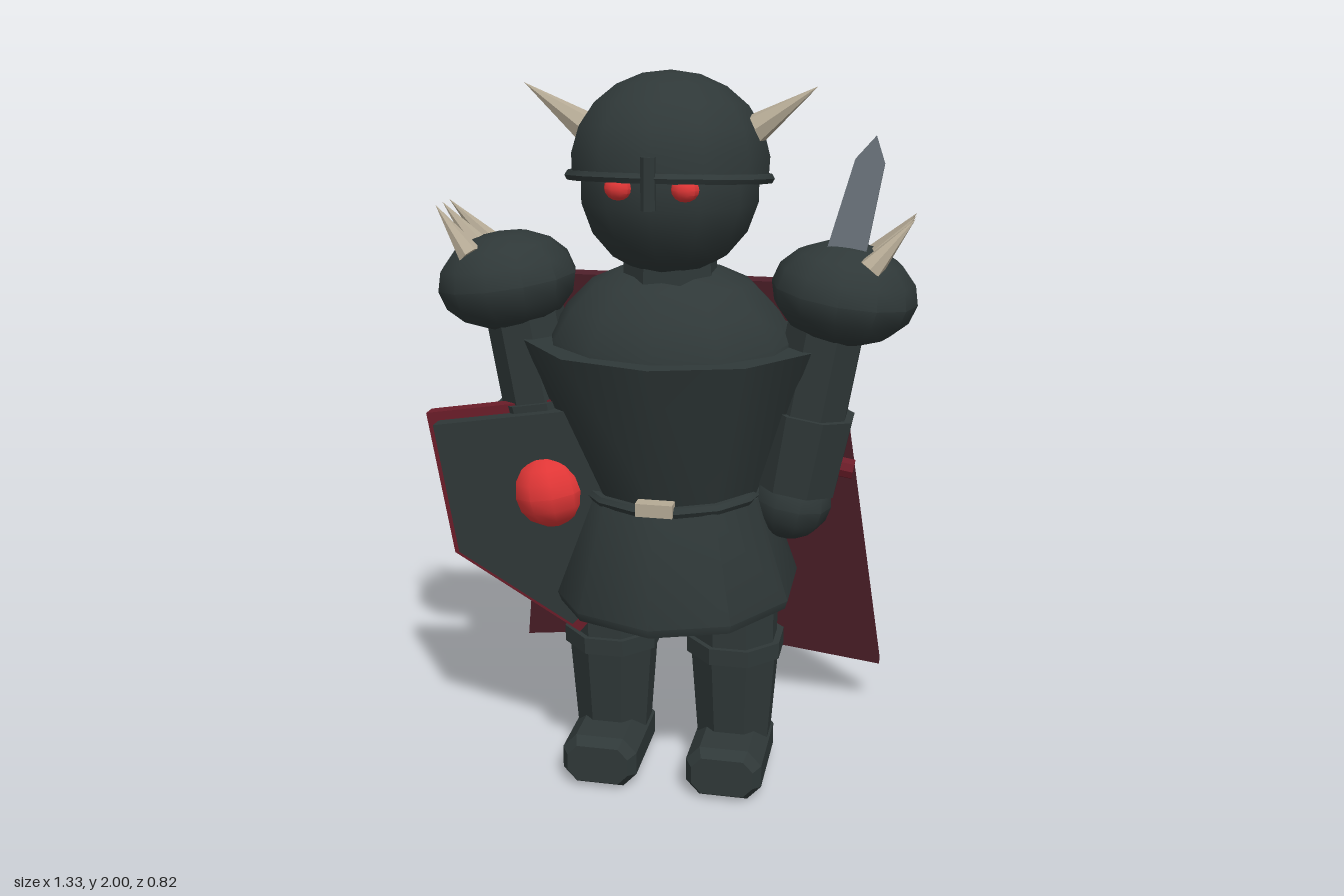
import * as THREE from 'three';
import { toCreasedNormals } from 'three/addons/utils/BufferGeometryUtils.js';

const mat = (name, color) => new THREE.MeshStandardMaterial({ name, color });

export function createModel() {
  const iron = mat('dark iron', 0x2f3838);
  const bone = mat('bone', 0xb5aa95);
  const red = mat('bright red', 0xe03636);
  const crimson = mat('crimson', 0x6c1d29);
  const cloth = mat('cape cloth', 0x4d1f29);
  const steel = mat('steel', 0x6d767e);

  const model = new THREE.Group();
  const body = new THREE.Group();
  body.name = 'knight';
  body.position.x = 0.015;
  model.add(body);

  const add = (name, geo, material, pos, parent = body, crease = 0.7) => {
    const mesh = new THREE.Mesh(toCreasedNormals(geo, crease), material);
    mesh.name = name;
    mesh.position.set(...pos);
    parent.add(mesh);
    return mesh;
  };
  const lathe = (pts, segs) =>
    new THREE.LatheGeometry(pts.map(p => new THREE.Vector2(...p)), segs);
  // Octagonal limb section with flat faces to front and sides
  const octagon = (top, bottom, height) =>
    new THREE.CylinderGeometry(top * 1.08, bottom * 1.08, height, 8).rotateY(Math.PI / 8);
  // Cone running from a base point to a tip
  const spike = (name, base, tip, radius, parent) => {
    const a = new THREE.Vector3(...base), d = new THREE.Vector3(...tip).sub(a);
    const geo = new THREE.ConeGeometry(radius, d.length(), 7).translate(0, d.length() / 2, 0);
    const mesh = add(name, geo, bone, base, parent, 0.3);
    mesh.quaternion.setFromUnitVectors(new THREE.Vector3(0, 1, 0), d.normalize());
  };
  const plate = (pts, depth) => new THREE.ExtrudeGeometry(
    new THREE.Shape(pts.map(p => new THREE.Vector2(...p))), { depth, bevelEnabled: false });

  // Head and helmet
  add('head', new THREE.SphereGeometry(0.24, 12, 9), iron, [0, 1.715, 0.12]);
  add('neck', octagon(0.115, 0.12, 0.12), iron, [0, 1.49, 0.1], body, 0.3);
  const dome = add('helmetDome',
    new THREE.SphereGeometry(0.264, 12, 6, 0, Math.PI * 2, 0, Math.PI * 0.56).scale(1, 0.9, 1.01),
    iron, [0, 1.763, 0.115]);
  dome.rotation.x = -0.1;
  const rim = add('helmetRim',
    new THREE.TorusGeometry(0.262, 0.014, 6, 14).rotateX(Math.PI / 2), iron, [0, 1.732, 0.117]);
  rim.rotation.x = -0.1;
  add('noseGuard', octagon(0.018, 0.018, 0.13), iron, [0, 1.745, 0.375], body, 0.3);
  for (const s of [-1, 1]) {
    add('eye', new THREE.SphereGeometry(0.036, 10, 8).scale(1, 0.85, 0.85), red, [s * 0.084, 1.728, 0.338]);
    spike('horn', [s * 0.215, 1.85, 0.125], [s * 0.382, 1.965, 0.125], 0.042, body);
  }

  // Torso, shoulders, belt and skirt
  const chest = add('breastplate',
    lathe([[0, 0], [0.25, 0], [0.408, 0.43], [0, 0.43]], 10).scale(1, 1, 0.81),
    iron, [0, 0.865, 0.06]);
  // Lower rim is a little deeper than the upper taper gives
  chest.rotation.x = 0.035;
  add('shoulderDome',
    lathe([[0.345, 1.25], [0.34, 1.3], [0.29, 1.38], [0.22, 1.45], [0.14, 1.485], [0, 1.49]], 12)
      .scale(1, 1, 0.82), iron, [0, 0, 0.075]);
  const skirt = add('skirt',
    lathe([[0, 0.02], [0.35, 0], [0.358, 0.025], [0.26, 0.31], [0, 0.32]], 10),
    iron, [0, 0.56, 0.045]);
  skirt.rotation.x = 0.04;
  add('belt', new THREE.TorusGeometry(0.248, 0.016, 6, 14).rotateX(Math.PI / 2).scale(1, 1, 1.02),
    iron, [0, 0.872, 0.055]);
  add('beltBuckle', new THREE.BoxGeometry(0.1, 0.036, 0.04), bone, [0, 0.882, 0.31]);

  // Boot with chamfered corners, swept along z
  const bootShape = [[-0.06, 0.02], [0.06, 0.02], [0.088, 0.05], [0.088, 0.1],
    [0.06, 0.13], [-0.06, 0.13], [-0.088, 0.1], [-0.088, 0.05]];
  const boot = () => new THREE.ExtrudeGeometry(
    new THREE.Shape(bootShape.map(p => new THREE.Vector2(...p))),
    { depth: 0.255, bevelThickness: 0.03, bevelSize: 0.02, bevelSegments: 1 });

  for (const s of [-1, 1]) {
    const side = s > 0 ? 'left' : 'right';

    // Leg
    const leg = new THREE.Group();
    leg.name = side + 'Leg';
    leg.position.x = s * 0.18;
    body.add(leg);
    add('thigh', octagon(0.115, 0.115, 0.3), iron, [0, 0.55, 0.05], leg, 0.3);
    add('kneeBand', octagon(0.133, 0.133, 0.048), iron, [0, 0.4, 0.045], leg, 0.3);
    add('shin', octagon(0.122, 0.1, 0.32), iron, [0, 0.24, 0.043], leg, 0.3);
    add('boot', boot(), iron, [0, 0, -0.015], leg, 0.3);

    // Arm, leaning outward toward the shoulder
    const arm = new THREE.Group();
    arm.name = side + 'Arm';
    arm.position.set(s * 0.43, 1.43, 0.075);
    arm.rotation.z = s * -0.165;
    body.add(arm);
    add('upperArm', octagon(0.1, 0.1, 0.42), iron, [0, -0.2, -0.005], arm, 0.3);
    add('forearm', octagon(0.12, 0.112, 0.22), iron, [0, -0.435, -0.012], arm, 0.3);
    add('hand', new THREE.SphereGeometry(0.112, 10, 8), iron, [0, -0.595, -0.025], arm);

    // Spiked shoulder guard
    const guard = add('shoulderGuard', new THREE.SphereGeometry(0.192, 12, 8).scale(1.01, 0.7, 1),
      iron, [s * 0.46, 1.435, 0.077]);
    guard.rotation.z = s * -0.14;
    for (const k of [-1, 0, 1]) {
      spike('shoulderSpike', [s * 0.53, 1.515, 0.08 + k * 0.095],
        [s * 0.637, 1.642, 0.08 + k * 0.055], 0.034, body);
    }

    // Blade running along the left arm, with a small pommel
    if (s > 0) {
      const blade = plate([[-0.055, -0.4], [0.045, -0.4], [0.045, 0.36],
        [0.01, 0.425], [-0.03, 0.36], [-0.055, 0.13]], 0.032);
      add('swordBlade', blade, steel, [0.02, 0, 0.02], arm, 0.3);
      add('swordPommel', new THREE.CylinderGeometry(0.028, 0.028, 0.06, 8).rotateZ(Math.PI / 2),
        crimson, [0.12, -0.462, 0.005], arm, 0.3);
    }
  }

  // Shield on the right arm
  const shield = new THREE.Group();
  shield.name = 'shield';
  shield.position.set(-0.322, 0.87, 0.12);
  shield.rotation.z = 0.16;
  body.add(shield);
  const outline = [[-0.325, 0.25], [-0.325, -0.167], [0, -0.437], [0.325, -0.167], [0.325, 0.25]];
  add('shieldBack', plate(outline, 0.045), crimson, [0, 0, 0], shield, 0.3);
  add('shieldFace', plate(outline.map(([x, y]) => [x * 0.9, y * 0.9]), 0.05), iron,
    [0, 0, 0.042], shield, 0.3);
  add('shieldBoss', new THREE.SphereGeometry(0.104, 10, 8), red, [0, 0, 0.06], shield);

  // Cape, flaring down and back
  const cape = add('cape', plate([[-0.4, 0], [-0.575, -1.276], [0, -1.2], [0.575, -1.276], [0.4, 0]], 0.036)
    .translate(0, 0, -0.036), cloth, [0, 1.41, -0.155], body, 0.3);
  cape.rotation.x = 0.176;

  return model;
}
